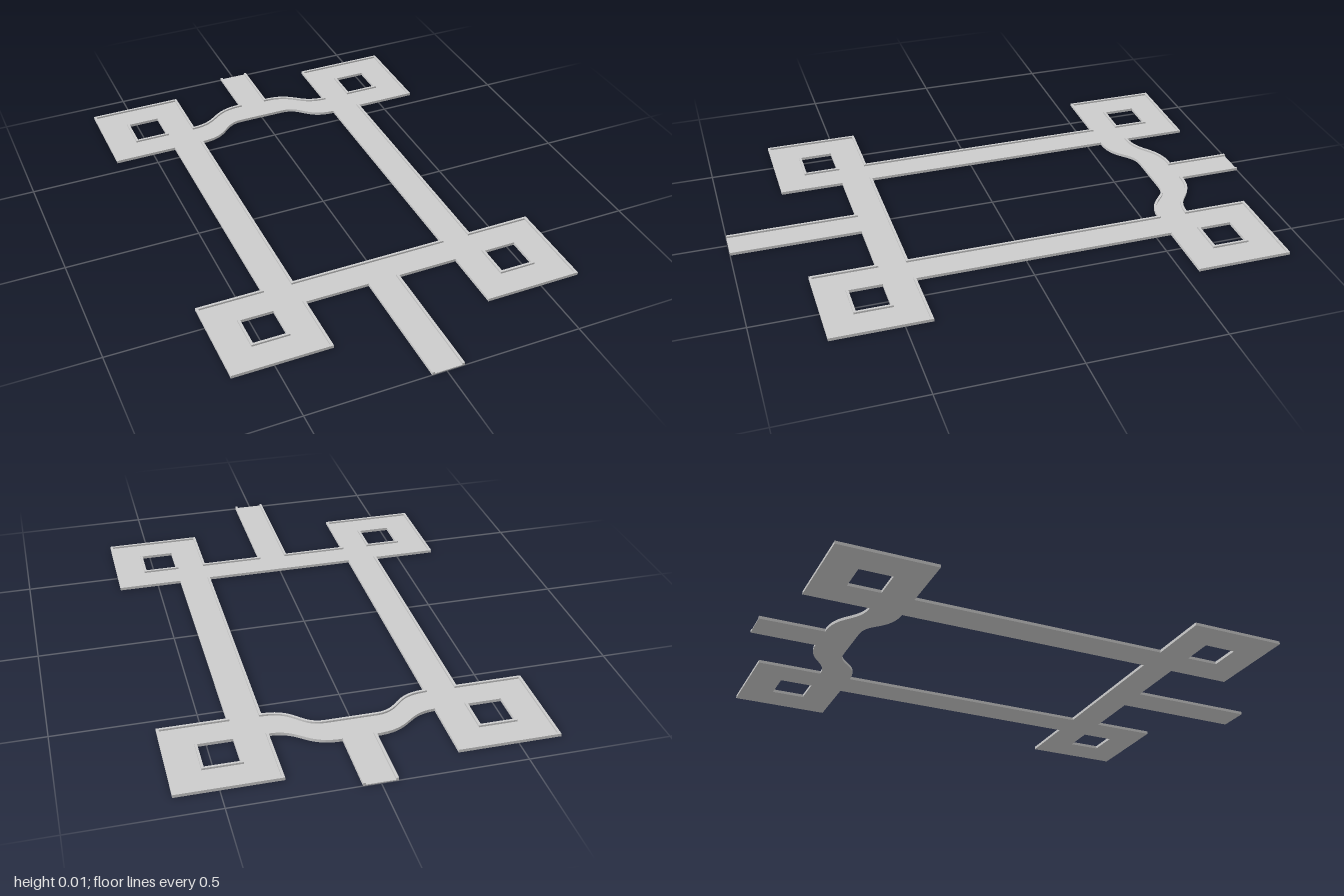
import * as THREE from 'three';

const FLOOR = 0.004, HEIGHT = 0.011, RIM = 0.009;
const V = (x, y) => new THREE.Vector2(x, y);
const mirror = (pts) => pts.map((p) => V(-p.x, p.y)).reverse();
const sCurve = (a, b, c, d) => new THREE.CubicBezierCurve(V(...a), V(...b), V(...c), V(...d)).getPoints(14);

// Offsets a polyline sideways with mitred corners (positive = right of travel)
function offset(pts, d, closed) {
  const n = pts.length;
  const normal = (a, b) => V(b.y - a.y, a.x - b.x).normalize();
  return pts.map((p, i) => {
    const prev = closed ? pts[(i + n - 1) % n] : pts[i - 1];
    const next = closed ? pts[(i + 1) % n] : pts[i + 1];
    const n1 = prev ? normal(prev, p) : normal(p, next);
    const n2 = next ? normal(p, next) : n1;
    const m = n1.clone().add(n2);
    return p.clone().addScaledVector(m, (2 * d) / m.lengthSq());
  });
}

export function createModel() {
  const group = new THREE.Group();
  const material = new THREE.MeshStandardMaterial({ color: 0xcccccc });

  // Plan shapes are drawn in x / -z and laid flat; contours run clockwise,
  // so they are reversed here to wind opposite to their holes
  const addPlate = (name, contour, holes, bottom, depth) => {
    const shape = new THREE.Shape([...contour].reverse());
    shape.holes = holes.map((h) => new THREE.Path(h));
    const geo = new THREE.ExtrudeGeometry(shape, { depth, bevelEnabled: false });
    geo.rotateX(-Math.PI / 2);
    const mesh = new THREE.Mesh(geo, material);
    mesh.position.y = bottom;
    mesh.name = name;
    group.add(mesh);
  };

  // One side of the outline, from the back stem round to the front stem
  const side = (backX, frontX) => [
    V(backX, 1), V(backX, 0.762),
    ...sCurve([0.075, 0.762], [0.19, 0.755], [0.185, 0.677], [0.29, 0.675]),
    V(0.29, 0.912), V(0.65, 0.912), V(0.65, 0.558), V(0.41, 0.558),
    V(0.41, -0.402), V(0.65, -0.402), V(0.65, -0.758), V(0.29, -0.758),
    V(0.29, -0.521), V(frontX, -0.521), V(frontX, -1),
  ];
  const rightSide = side(0.06, 0.066);
  const leftSide = mirror(side(0.058, 0.053));

  // Large central window
  const half = [
    ...sCurve([0.09, 0.647], [0.18, 0.647], [0.165, 0.56], [0.29, 0.558]),
    V(0.29, -0.402),
  ];
  const openings = [[...half, ...mirror(half)]];

  // Square holes in the four corner blocks
  for (const x of [-0.53, 0.41])
    for (const y of [0.675, -0.641])
      openings.push([V(x, y), V(x, y + 0.12), V(x + 0.12, y + 0.12), V(x + 0.12, y)]);

  // Channel floor
  addPlate('channelFloor', [...rightSide, ...leftSide], openings, 0, FLOOR);

  // Raised outer rims, open at both stem ends
  for (const [name, pts] of [['rightOuterRim', rightSide], ['leftOuterRim', leftSide]])
    addPlate(name, [...pts, ...offset(pts, RIM, false).reverse()], [], FLOOR, HEIGHT - FLOOR);

  // Raised rims round the openings
  openings.forEach((o, i) =>
    addPlate(i ? 'cornerHoleRim' + i : 'windowRim', offset(o, -RIM, true), [o], FLOOR, HEIGHT - FLOOR));

  return group;
}
